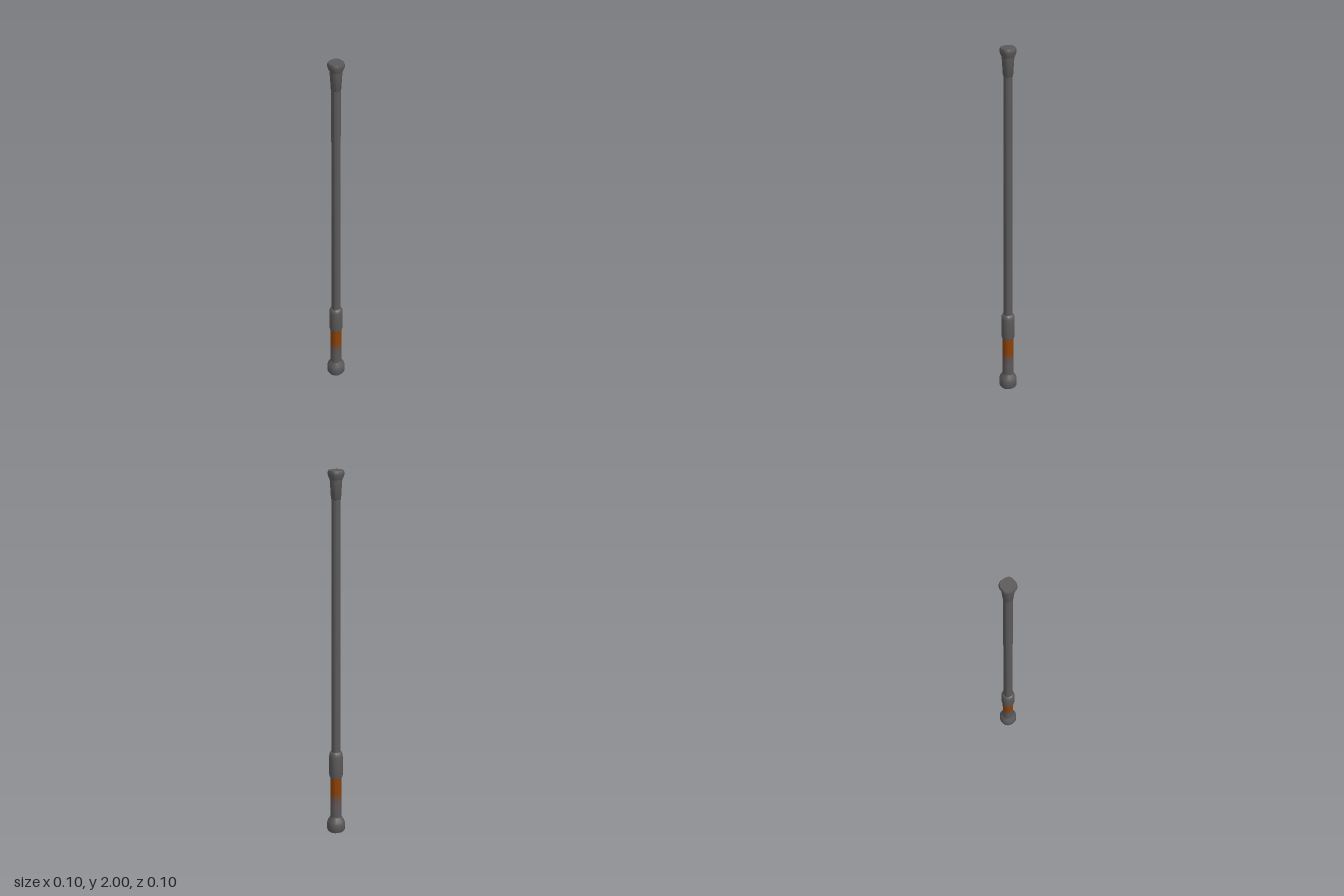
import * as THREE from 'three';
import { toCreasedNormals } from 'three/addons/utils/BufferGeometryUtils.js';

const paint = (name, color) => {
  const m = new THREE.MeshStandardMaterial({ color });
  m.name = name;
  return m;
};

// Lathe from [radius, y] pairs (bottom to top), pushed towards a rounded square by exponent n.
function turned(name, profile, material, n = 2) {
  const points = profile.map(([r, y]) => new THREE.Vector2(r, y));
  const geo = new THREE.LatheGeometry(points, 32);
  const pos = geo.attributes.position;
  for (let i = 0; i < pos.count; i++) {
    const x = pos.getX(i), z = pos.getZ(i), r = Math.hypot(x, z);
    if (r < 1e-6) continue;
    const k = Math.pow(Math.abs(x / r) ** n + Math.abs(z / r) ** n, -1 / n);
    pos.setX(i, x * k);
    pos.setZ(i, z * k);
  }
  const mesh = new THREE.Mesh(toCreasedNormals(geo, 0.7), material);
  mesh.name = name;
  return mesh;
}

export function createModel() {
  const grey = paint('darkGrey', 0x5a5858);
  const orange = paint('burntOrange', 0x8a4005);
  const brown = paint('fadedOrange', 0x78472a);
  const mauve = paint('mauveGrey', 0x665049);
  const warmGrey = paint('warmGrey', 0x5f5557);

  const group = new THREE.Group();
  group.name = 'staff';

  // Heavy foot
  group.add(turned('foot', [
    [0, 0], [0.044, 0], [0.048, 0.008], [0.048, 0.045], [0.044, 0.06], [0.034, 0.076], [0.03, 0.085],
  ], grey, 2.2));

  // Grip, fading from grey to orange in bands
  const bands = [
    [0.08, 0.15, grey], [0.15, 0.175, warmGrey], [0.175, 0.2, mauve],
    [0.2, 0.222, brown], [0.222, 0.33, orange],
  ];
  bands.forEach(([y0, y1, mat], i) => {
    group.add(turned('gripBand' + (i + 1), [[0.03, y0], [0.03, y1]], mat, 2.2));
  });

  // Sleeve where the grip meets the shaft
  group.add(turned('sleeve', [
    [0.029, 0.32], [0.033, 0.322], [0.036, 0.335], [0.036, 0.445], [0.034, 0.46], [0.028, 0.473], [0.022, 0.476],
  ], grey, 2.2));

  // Long, slightly tapered shaft
  group.add(turned('shaft', [[0.0245, 0.47], [0.0225, 1.87]], grey, 2.2));

  // Flared collar and squared end cap
  group.add(turned('collar', [
    [0.022, 1.852], [0.024, 1.856], [0.029, 1.94], [0.031, 1.965],
  ], grey, 2.4));
  group.add(turned('endCap', [
    [0.03, 1.955], [0.036, 1.97], [0.038, 1.978], [0.038, 1.992], [0.035, 2], [0, 2],
  ], grey, 2.8));

  return group;
}
